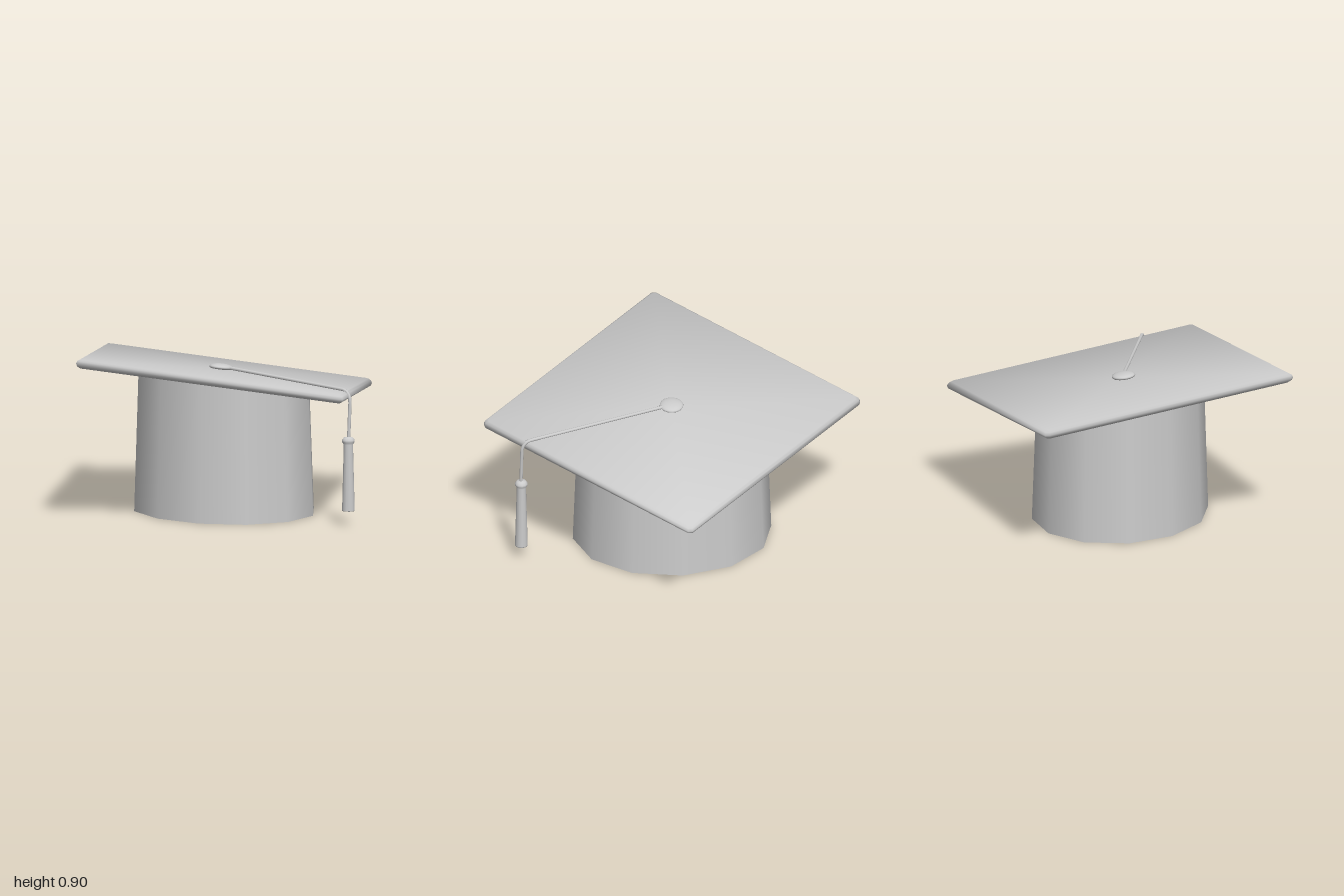
import * as THREE from 'three';

const fabric = new THREE.MeshStandardMaterial({ color: 0xcccccc });
fabric.name = 'greyFabric';
fabric.side = THREE.DoubleSide;

// height of the tilted board's middle plane
const boardY = (x, z) => 0.731 - 0.152 * x - 0.017 * z;

function part(name, geometry) {
  const mesh = new THREE.Mesh(geometry, fabric);
  mesh.name = name;
  return mesh;
}

// square board: rings run from the top centre over a rounded rim to the bottom centre
function boardGeometry() {
  // [scale, height, outward share of the normal, upward share]
  const rings = [
    [0, 0.023, 0, 1], [0.975, 0.023, 0.5, 1], [0.993, 0.014, 1, 0.8], [1, 0, 1, 0],
    [0.993, -0.014, 1, -0.8], [0.975, -0.023, 0.5, -1], [0, -0.023, 0, -1],
  ];
  const sides = 8, positions = [], normals = [], index = [];
  const n = new THREE.Vector3();
  rings.forEach(([scale, h, out, up], r) => {
    for (let i = 0; i < sides; i++) {
      const corner = Math.floor(i / 2);
      const a = 0.03 + corner * Math.PI / 2 + (i % 2 ? 0.012 : -0.012);
      const reach = corner % 2 ? 1 : 0.988;
      const x = Math.cos(a) * reach * scale, z = Math.sin(a) * reach * scale;
      positions.push(x, boardY(x, z) + h, z);
      n.set(Math.cos(a) * out + 0.152 * up, up, Math.sin(a) * out + 0.017 * up).normalize();
      normals.push(n.x, n.y, n.z);
      if (r < rings.length - 1) {
        const p = r * sides + i, q = r * sides + (i + 1) % sides;
        if (r > 0) index.push(p, q, p + sides);
        if (r < rings.length - 2) index.push(q, q + sides, p + sides);
      }
    }
  });
  const g = new THREE.BufferGeometry();
  g.setAttribute('position', new THREE.Float32BufferAttribute(positions, 3));
  g.setAttribute('normal', new THREE.Float32BufferAttribute(normals, 3));
  g.setIndex(index);
  return g;
}

// open oval head band whose top edge follows the board
function bandGeometry() {
  const g = new THREE.CylinderGeometry(0.95, 1, 1, 12, 1, true);
  g.scale(0.46, 1, 0.53);
  const p = g.attributes.position;
  for (let i = 0; i < p.count; i++) {
    p.setY(i, p.getY(i) > 0 ? boardY(p.getX(i), p.getZ(i)) - 0.015 : 0);
  }
  return g;
}

export function createModel() {
  const model = new THREE.Group();
  model.name = 'graduationCap';
  model.add(part('board', boardGeometry()), part('headBand', bandGeometry()));

  // flattened button at the middle of the board
  const button = part('button', new THREE.SphereGeometry(0.063, 20, 12));
  button.scale.y = 0.3;
  button.position.set(-0.02, 0.767, 0);
  button.rotation.z = -0.12;
  model.add(button);

  // cord across the board, over the edge and down to the tassel
  const path = new THREE.CurvePath();
  const v = (x, y, z) => new THREE.Vector3(x, y, z);
  path.add(new THREE.LineCurve3(v(-0.01, 0.768, 0.03), v(0.172, 0.724, 0.77)));
  path.add(new THREE.QuadraticBezierCurve3(v(0.172, 0.724, 0.77), v(0.182, 0.72, 0.822), v(0.179, 0.66, 0.825)));
  path.add(new THREE.LineCurve3(v(0.179, 0.66, 0.825), v(0.167, 0.46, 0.828)));
  model.add(part('cord', new THREE.TubeGeometry(path, 48, 0.009, 8)));

  // tassel with a rounded knot on top
  const profile = [
    [0, 0], [0.034, 0], [0.034, 0.004], [0.025, 0.355], [0.033, 0.368],
    [0.034, 0.38], [0.024, 0.393], [0, 0.398],
  ].map(([r, y]) => new THREE.Vector2(r, y));
  const tassel = part('tassel', new THREE.LatheGeometry(profile, 12));
  tassel.position.set(0.167, 0.08, 0.826);
  model.add(tassel);

  return model;
}
